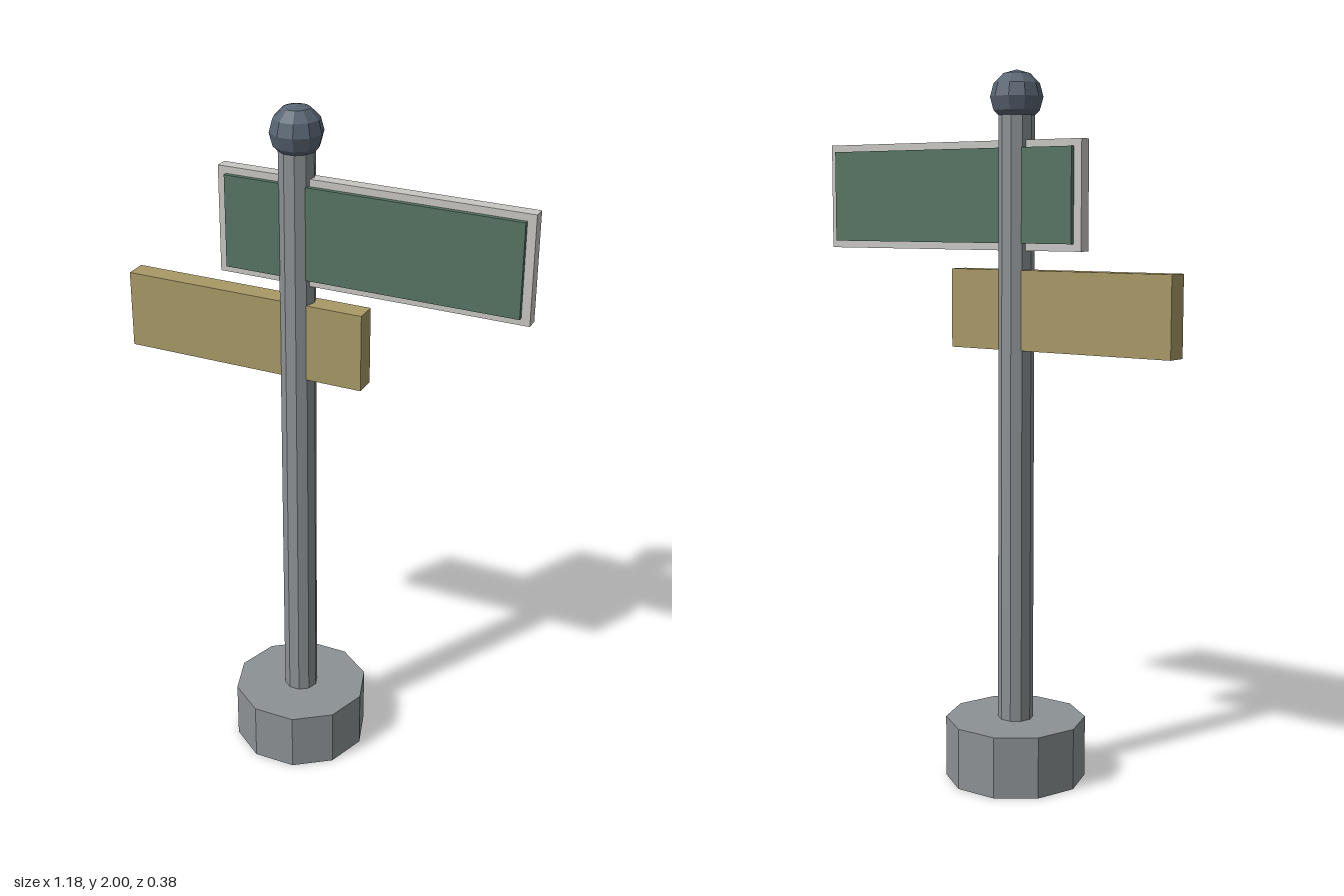
import * as THREE from 'three';

const POST_X = -0.075;

export function createModel() {
  const model = new THREE.Group();
  model.name = 'signpost';

  const paint = (name, color) => {
    const m = new THREE.MeshStandardMaterial({ color });
    m.name = name;
    m.flatShading = true;
    return m;
  };
  const steel = paint('steel grey', 0x8c9194);
  const slate = paint('slate blue', 0x586472);
  const green = paint('sign green', 0x567463);
  const pale = paint('pale grey', 0xc8c6c3);
  const tan = paint('tan', 0xa89966);

  const add = (name, geometry, material, x, y) => {
    const mesh = new THREE.Mesh(geometry, material);
    mesh.name = name;
    mesh.position.set(x, y, 0);
    model.add(mesh);
    return mesh;
  };

  // Ten-sided upright with corners on the x axis
  const post = (name, radius, y0, y1) => {
    const geometry = new THREE.CylinderGeometry(radius, radius, y1 - y0, 10);
    geometry.rotateY(Math.PI / 2);
    return add(name, geometry, steel, POST_X, (y0 + y1) / 2);
  };

  // Board given by its edges, centred on z = 0
  const board = (name, material, x0, x1, y0, y1, depth) =>
    add(name, new THREE.BoxGeometry(x1 - x0, y1 - y0, depth), material, (x0 + x1) / 2, (y0 + y1) / 2);

  // Base, pole and ball finial
  post('base', 0.2, 0, 0.175);
  post('pole', 0.05, 0.175, 1.88);
  add('finial', new THREE.SphereGeometry(0.073, 10, 6), slate, POST_X, 1.927);

  // Upper sign: pale frame with a green panel standing proud on both faces
  board('upperSignFrame', pale, -0.3, 0.588, 1.51, 1.81, 0.036);
  board('upperSignPanel', green, -0.276, 0.564, 1.53, 1.79, 0.062);

  // Lower sign
  board('lowerSign', tan, -0.588, 0.127, 1.235, 1.457, 0.062);

  return model;
}
